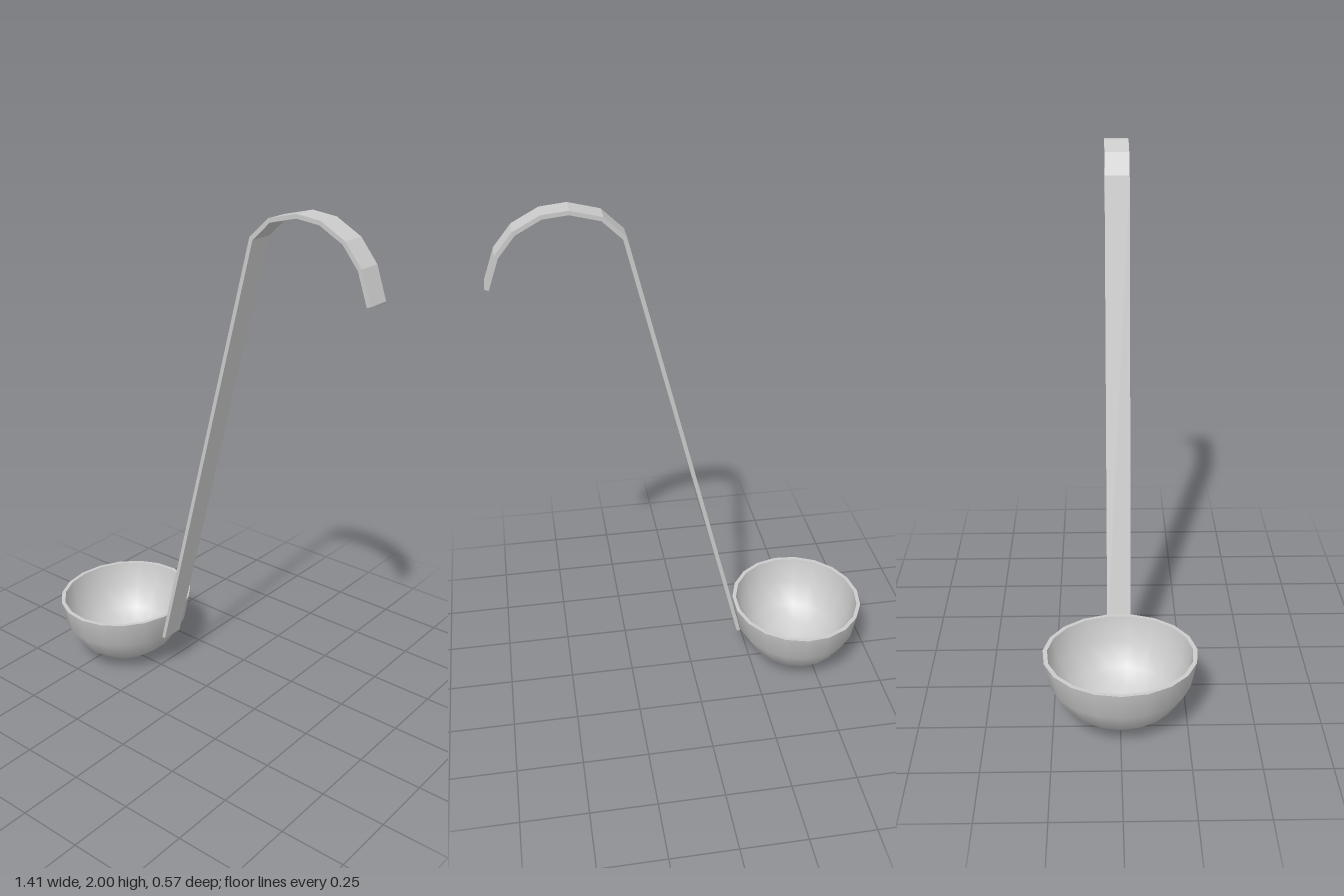
import * as THREE from 'three';

const SIDES = 19;
const RIM_Y = 0.283;
const WALL = 0.016;

// Turned surface, started so that one corner points towards -x
const turned = (points) => new THREE.LatheGeometry(points, SIDES, -Math.PI / 2);

// Hemispherical profile from the bottom centre up to the rim
function bowlProfile(radius) {
  return [90, 62, 44, 22, 0].map((deg) => {
    const a = THREE.MathUtils.degToRad(deg);
    return new THREE.Vector2(deg === 90 ? 0 : radius * Math.cos(a), RIM_Y - radius * Math.sin(a));
  });
}

// Closed outline of a strip of even thickness along a path, with mitred corners
function stripShape(path, thickness) {
  const normal = (a, b) => new THREE.Vector2(a.y - b.y, b.x - a.x).normalize();
  const upper = [], lower = [];
  path.forEach((p, i) => {
    const n0 = normal(path[Math.max(i - 1, 0)], path[Math.max(i, 1)]);
    const last = path.length - 1;
    const n1 = normal(path[Math.min(i, last - 1)], path[Math.min(i + 1, last)]);
    const m = n0.clone().add(n1).normalize();
    m.multiplyScalar(thickness / 2 / m.dot(n0));
    upper.push(p.clone().add(m));
    lower.unshift(p.clone().sub(m));
  });
  return new THREE.Shape([...upper, ...lower]);
}

export function createModel() {
  const model = new THREE.Group();
  model.name = 'ladle';
  const metal = new THREE.MeshStandardMaterial({ color: 0xcccccc });

  const add = (name, geometry, parent) => {
    const mesh = new THREE.Mesh(geometry, metal);
    mesh.name = name;
    parent.add(mesh);
    return mesh;
  };

  // Bowl: outer shell, inner shell and flat rim, slightly narrower in x
  const bowl = new THREE.Group();
  bowl.name = 'bowl';
  bowl.position.x = -0.443;
  model.add(bowl);
  const outer = bowlProfile(RIM_Y);
  const inner = bowlProfile(RIM_Y - WALL).reverse();
  const parts = {
    bowlOutside: outer,
    bowlInside: inner,
    bowlRim: [outer[outer.length - 1], inner[0]],
  };
  for (const [name, points] of Object.entries(parts)) {
    add(name, turned(points).scale(0.93, 1, 1.013), bowl);
  }

  // Handle: flat strip rising from the bowl and curling over into a hook
  const path = [
    [-0.192, 0.178], [0.229, 1.895], [0.302, 1.965], [0.41, 1.992],
    [0.501, 1.982], [0.594, 1.932], [0.657, 1.855], [0.697, 1.743],
  ].map(([x, y]) => new THREE.Vector2(x, y));
  const width = 0.092;
  const strip = new THREE.ExtrudeGeometry(stripShape(path, 0.015), { depth: width, bevelEnabled: false });
  add('handle', strip.translate(0, 0, -width / 2), model);

  return model;
}
